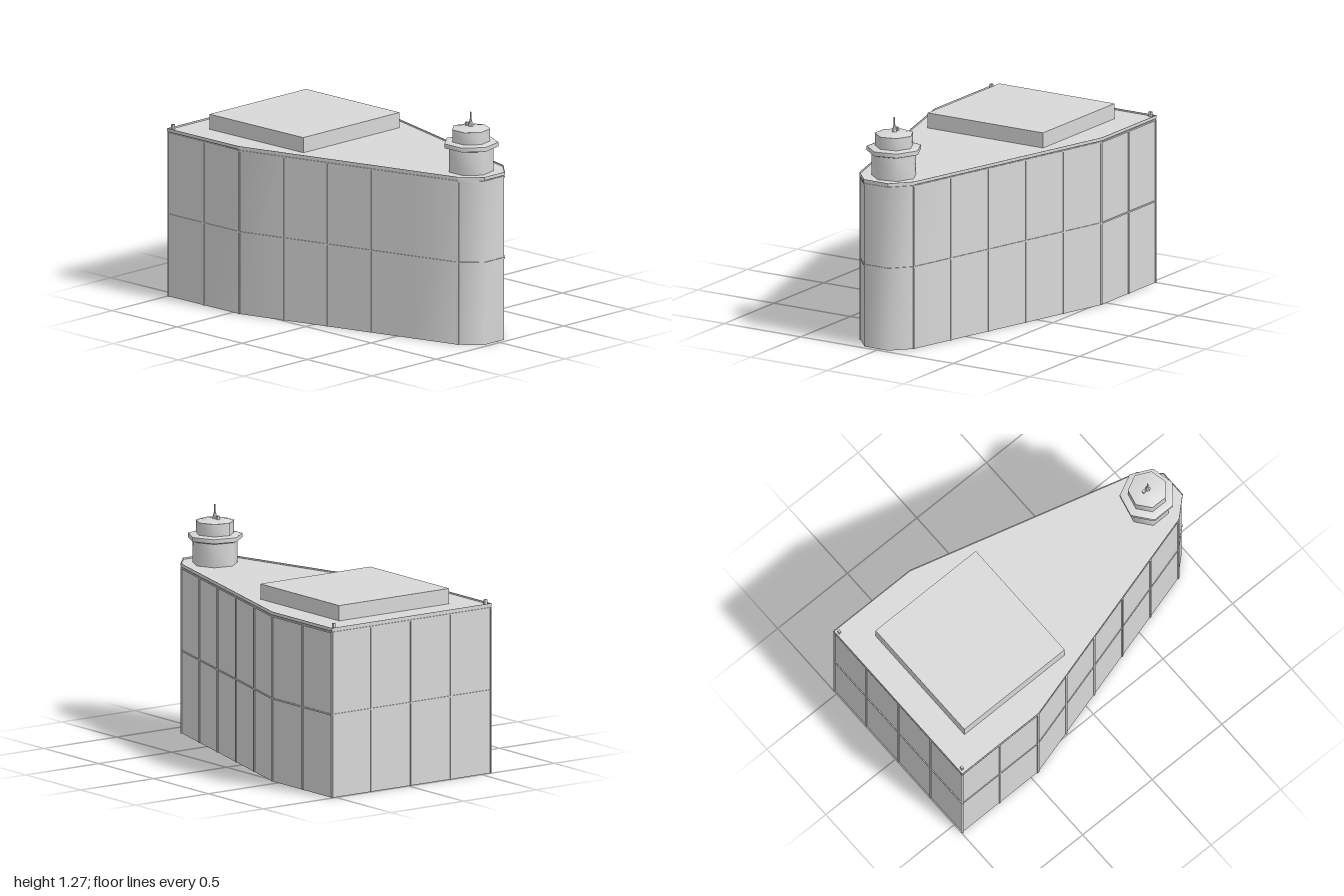
import * as THREE from 'three';
import { toCreasedNormals } from 'three/addons/utils/BufferGeometryUtils.js';

const CX = -0.02;   // symmetry line of the building and its turret
const ROOF = 0.944; // roof height
const WALL = 0.006; // how far the wall face sits behind the outline

export function createModel() {
  const model = new THREE.Group();
  // Double-sided because the block is a thin shell, open underneath
  const grey = new THREE.MeshStandardMaterial({ color: 0xd8d8d8, side: THREE.DoubleSide });
  grey.name = 'stone grey';

  const add = (name, geometry, parent = model) => {
    const mesh = new THREE.Mesh(geometry, grey);
    mesh.name = name;
    parent.add(mesh);
    return mesh;
  };
  const group = (name) => {
    const g = new THREE.Group();
    g.name = name;
    model.add(g);
    return g;
  };
  const box = (name, w, h, d, x, y, z, parent) => {
    const mesh = add(name, new THREE.BoxGeometry(w, h, d), parent);
    mesh.position.set(x, y, z);
    return mesh;
  };

  // Wedge-shaped footprint; the last number is how many panels the next wall has
  const corners = [
    [-0.548, -1, 4], [0.548, -1, 2], [0.548, -0.45, 5], [0.18, 0.87, 1],
    [0.08, 0.98, 1], [-0.08, 0.98, 1], [-0.18, 0.87, 5], [-0.548, -0.45, 2],
  ];
  const outline = [];
  corners.forEach(([x, z, n], i) => {
    const [x2, z2] = corners[(i + 1) % corners.length];
    for (let k = 0; k < n; k++) {
      outline.push(new THREE.Vector2(x + (x2 - x) * k / n, z + (z2 - z) * k / n));
    }
  });
  const count = outline.length;

  // Footprint moved inwards by a distance
  const inset = (d) => outline.map((p, i) => {
    const u = p.clone().sub(outline[(i + count - 1) % count]).normalize();
    const v = outline[(i + 1) % count].clone().sub(p).normalize();
    const n1 = new THREE.Vector2(-u.y, u.x), n2 = new THREE.Vector2(-v.y, v.x);
    const m = n1.add(n2).normalize();
    return p.clone().addScaledVector(m, d / m.dot(n2));
  });
  const flat = (d) => inset(d).map((p) => new THREE.Vector2(p.x + CX, -p.y));

  // Hollow band that follows the footprint
  const band = (outer, inner, y, h) => {
    const shape = new THREE.Shape(flat(outer));
    shape.holes.push(new THREE.Path(flat(inner)));
    return new THREE.ExtrudeGeometry(shape, { depth: h, bevelEnabled: false })
      .rotateX(-Math.PI / 2).translate(0, y, 0);
  };

  // Wall skin: a strip wrapped round the footprint, running so that it faces outwards
  const skin = new THREE.PlaneGeometry(1, ROOF, count, 1);
  const face = inset(WALL);
  for (let i = 0; i < skin.attributes.position.count; i++) {
    const p = face[(2 * count - (i % (count + 1))) % count];
    skin.attributes.position.setXYZ(i, p.x + CX, i > count ? 0 : ROOF, p.y);
  }
  add('walls', toCreasedNormals(skin, 1));

  // Flat roof, string courses and thin rim
  add('roof', new THREE.ShapeGeometry(new THREE.Shape(flat(0.002)))
    .rotateX(-Math.PI / 2).translate(0, ROOF, 0));
  add('middleBand', toCreasedNormals(band(0.001, WALL, 0.461, 0.008), 1));
  add('upperBand', toCreasedNormals(band(0.001, WALL, 0.922, 0.008), 1));
  add('roofRim', band(0, 0.003, 0.935, 0.018));

  // Thin upright ribs between the wall panels
  const ribs = group('ribs');
  inset(0.0035).forEach((p, i) => {
    if (p.y > 0.9) return;
    const next = outline[(i + 1) % count];
    const prev = outline[(i + count - 1) % count];
    const rib = box('rib', 0.012, 0.93, 0.005, p.x + CX, 0.465, p.y, ribs);
    rib.rotation.y = -Math.atan2(next.y - prev.y, next.x - prev.x);
  });

  // Rooftop plant room and corner posts
  box('roofBlock', 0.755, 0.086, 0.72, CX, 0.988, -0.48);
  for (const s of [-1, 1]) box('cornerPost', 0.016, 0.029, 0.013, CX + s * 0.521, 0.96, -0.98);

  // Seven-sided turret above the nose
  const turret = group('turret');
  turret.position.set(CX, 0, 0.795);
  const lathe = (name, profile, sides = 7) => {
    const g = new THREE.LatheGeometry(profile.map(([r, y]) => new THREE.Vector2(r, y)), sides, Math.PI / 2);
    add(name, toCreasedNormals(g, 1), turret);
  };
  lathe('turretDrum', [[0.126, ROOF], [0.126, 1.082]]);
  lathe('turretLedge', [[0.124, 1.074], [0.136, 1.078], [0.153, 1.083], [0.153, 1.107], [0.135, 1.112], [0.1, 1.113]]);
  lathe('turretLantern', [[0.107, 1.11], [0.107, 1.183]]);
  lathe('turretRoof', [[0.105, 1.181], [0.109, 1.183], [0.06, 1.192], [0, 1.196]]);
  lathe('spireBase', [[0.016, 1.193], [0.005, 1.235]], 6);
  lathe('spireRod', [[0.004, 1.233], [0.004, 1.275], [0, 1.275]], 6);
  box('roofVent', 0.015, 0.022, 0.015, 0, 1.202, -0.028, turret);
  return model;
}
